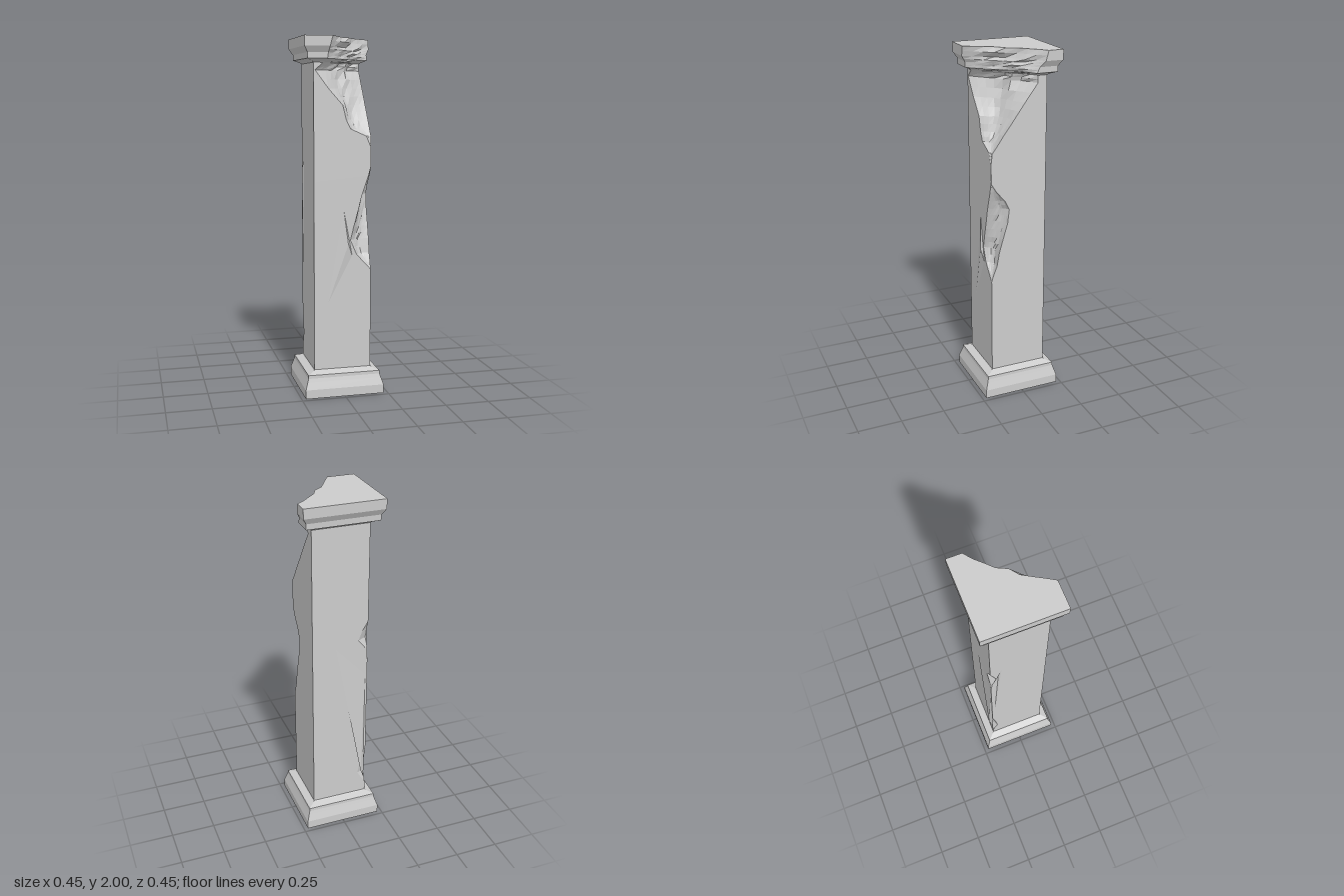
import * as THREE from 'three';
import { ConvexGeometry } from 'three/addons/geometries/ConvexGeometry.js';

const STEPS = 8; // segments across the broken corner

// Each row: y, half width, x where the break starts on the front face,
// z where it ends on the right-hand face, scoop depth, rear corner chip
const row = (y, h, a = h, b = h, depth = 0, chip = 0) => [y, h, a, b, depth, chip];
const S = 0.163;

const baseRows = [
  row(0, 0.226), row(0.05, 0.226), row(0.09, 0.213), row(0.11, 0.207),
  row(0.128, 0.206), row(0.142, 0.168), row(0.146, S),
];
const shaftRows = [
  row(0.146, S), row(0.2, S), row(0.28, S, S, S, 0, 0.03), row(0.36, S, S, S, 0, 0.02),
  row(0.46, S), row(0.71, S),
  // middle gouge
  row(0.75, S, 0.125, 0.15, 0.005), row(0.8, S, 0.08, 0.13, 0.02),
  row(0.88, S, 0.045, 0.115, 0.025), row(0.95, S, 0.062, 0.095, 0.02),
  row(1.05, S, 0.09, 0.065, 0.02), row(1.13, S, 0.11, 0.055, 0.015, 0.01),
  row(1.18, S, 0.127, 0.08, 0.015, 0.035), row(1.24, S, 0.148, 0.13, 0.005, 0.02),
  row(1.29, S, 0.161, 0.161), row(1.4, S, 0.16, 0.162),
  // upper break
  row(1.46, S, 0.135, 0.155, 0.005), row(1.5, S, 0.045, 0.125, 0.02),
  row(1.55, S, 0.02, 0.09, 0.035), row(1.63, S, 0, 0.03, 0.04),
  row(1.72, S, -0.08, -0.035, 0.025), row(1.82, S, -0.155, -0.11, 0.005),
  row(1.86, S, -0.11, -0.11, 0.01),
];
const capitalRows = [
  row(1.86, S, -0.11, -0.11, 0.01), row(1.866, 0.17, -0.1, -0.1, 0.01),
  row(1.88, 0.204, -0.095, -0.085, 0.01), row(1.912, 0.205, -0.09, -0.1, 0.015),
  row(1.945, 0.225, -0.085, -0.125, 0.02), row(2, 0.226, -0.07, -0.14, 0.025),
];

// Repeatable noise in -1..1
function noise(y, i) {
  const v = Math.sin(y * 127.1 + i * 311.7) * 43758.5453;
  return (v - Math.floor(v)) * 2 - 1;
}

// Insert rows where the corner is broken so the fracture gets fine facets
function refine(rows, parts) {
  const out = [rows[0]];
  for (let i = 1; i < rows.length; i++) {
    const p = rows[i - 1], q = rows[i];
    const n = p[2] < p[1] || q[2] < q[1] ? parts : 1;
    for (let k = 1; k <= n; k++) out.push(k === n ? q : p.map((v, j) => v + (q[j] - v) * k / n));
  }
  return out;
}

// Square outline with a scooped front corner and a chipped rear corner
function ring([y, h, a, b, depth, chip]) {
  const pts = [[-h, h]];
  const span = Math.hypot(h - a, h - b);
  for (let i = 0; i <= STEPS; i++) {
    const t = i / STEPS;
    const bow = Math.sin(Math.PI * Math.pow(t, 1.25));
    const d = (depth + span * 0.035 * noise(y, i)) * bow * Math.SQRT1_2;
    pts.push([a + (h - a) * t - d, h + (b - h) * t - d]);
  }
  pts.push([h, -h], [-h + chip * 1.6, -h], [-h + chip * 0.6, -h + chip * 0.6], [-h, -h + chip]);
  return pts.map(([x, z]) => new THREE.Vector3(x, y, z));
}

// Skin the outlines and close both ends
function loft(rows, name, material) {
  const rings = rows.map(ring);
  const pos = [];
  const tri = (p, q, r) => {
    const area = q.clone().sub(p).cross(r.clone().sub(p)).length();
    if (area > 1e-9) for (const v of [p, q, r]) pos.push(v.x, v.y, v.z);
  };
  const n = rings[0].length;
  for (let k = 0; k < rings.length - 1; k++) {
    for (let i = 0; i < n; i++) {
      const j = (i + 1) % n, lo = rings[k], hi = rings[k + 1];
      tri(lo[i], lo[j], hi[j]);
      tri(lo[i], hi[j], hi[i]);
    }
  }
  const cap = (r, top) => {
    const flat = r.map((v) => new THREE.Vector2(v.x, -v.z));
    for (const [i, j, k] of THREE.ShapeUtils.triangulateShape(flat, [])) {
      if (top) tri(r[i], r[j], r[k]);
      else tri(r[i], r[k], r[j]);
    }
  };
  cap(rings[0], false);
  cap(rings[rings.length - 1], true);
  const geometry = new THREE.BufferGeometry();
  geometry.setAttribute('position', new THREE.Float32BufferAttribute(pos, 3));
  geometry.computeVertexNormals();
  const mesh = new THREE.Mesh(geometry, material);
  mesh.name = name;
  return mesh;
}

// Thin raised flake of stone on a face
function flake(name, points, material) {
  const mesh = new THREE.Mesh(new ConvexGeometry(points.map((p) => new THREE.Vector3(...p))), material);
  mesh.name = name;
  return mesh;
}

export function createModel() {
  const group = new THREE.Group();
  group.name = 'brokenPillar';
  const stone = new THREE.MeshStandardMaterial({ color: 0xcccccc, flatShading: true });

  group.add(loft(baseRows, 'base', stone));
  group.add(loft(refine(shaftRows, 2), 'shaft', stone));
  group.add(loft(refine(capitalRows, 2), 'capital', stone));

  const I = 0.16; // flakes root just inside the shaft
  group.add(flake('backFlake', [
    [0.06, 1.33, -I], [-0.155, 0.24, -I], [-0.155, 1.1, -I], [-0.13, 0.3, -0.177],
  ], stone));
  group.add(flake('frontFlake', [
    [0, 1.1, I], [-0.11, 0.45, I], [0.06, 0.78, I], [0.03, 0.86, 0.176],
  ], stone));
  group.add(flake('sideFlake', [
    [-I, 1.33, -0.09], [-I, 0.4, -0.155], [-I, 1.1, -0.155], [-0.171, 1.27, -0.12],
  ], stone));
  return group;
}
